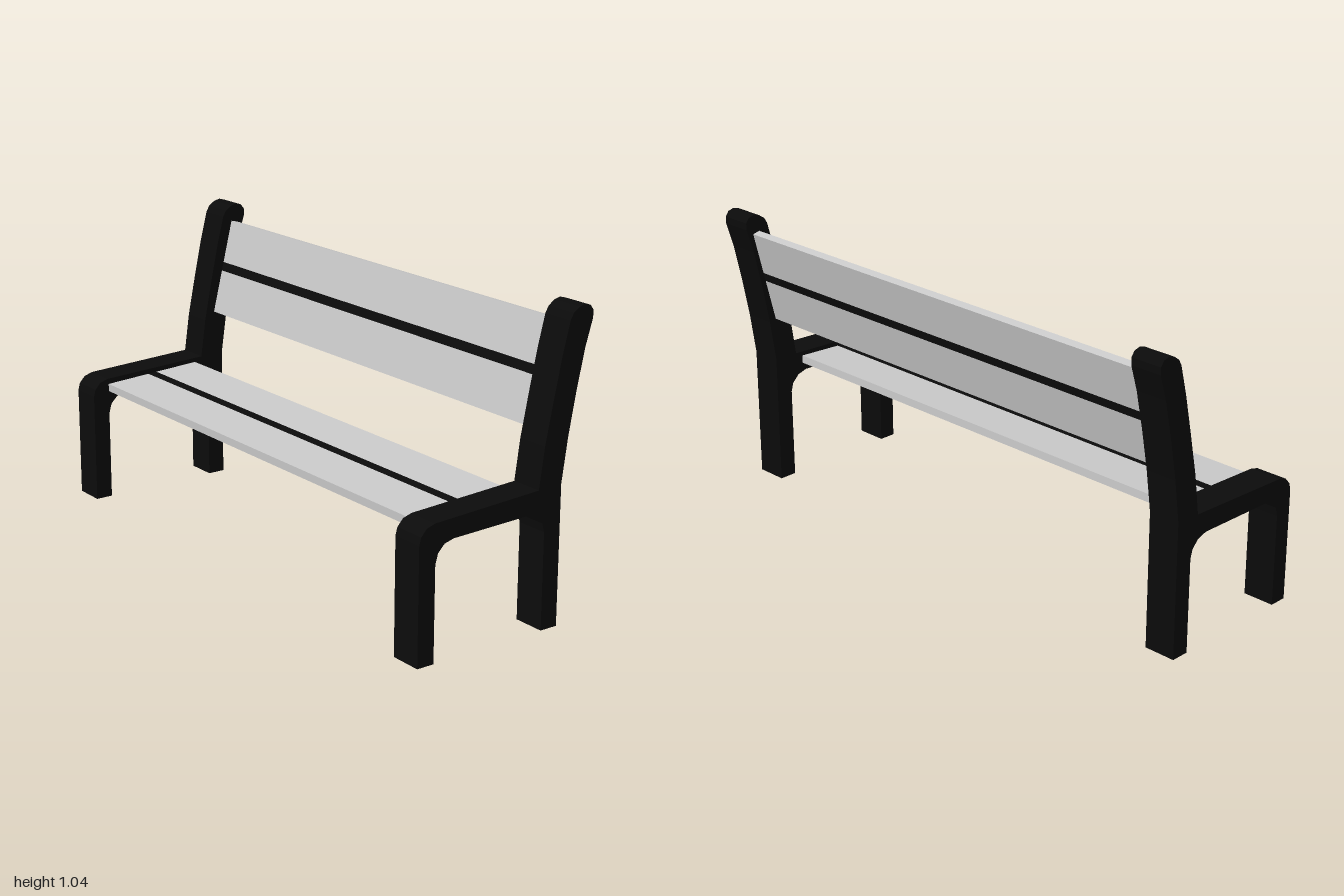
import * as THREE from 'three';

const frameMat = new THREE.MeshStandardMaterial({ color: 0x0b0b0b });
frameMat.name = 'black';
const slatMat = new THREE.MeshStandardMaterial({ color: 0xc8c8c8 });
slatMat.name = 'lightGrey';

const FRAME_WIDTH = 0.113;
const SLAT_WIDTH = 1.78;
const SLAT_THICKNESS = 0.028;

// Side outline of one end frame as [z, y]
const OUTLINE = [
  [0.335, 0], [0.335, 0.395], [0.328, 0.421], [0.307, 0.444], [0.275, 0.454],
  [-0.135, 0.472], [-0.155, 0.61], [-0.185, 0.755], [-0.215, 0.892], [-0.242, 0.995],
  [-0.254, 1.016], [-0.277, 1.032], [-0.3, 1.038], [-0.322, 1.032], [-0.335, 1.015],
  [-0.335, 0.99], [-0.307, 0.9], [-0.277, 0.765], [-0.25, 0.625], [-0.228, 0.475],
  [-0.228, 0], [-0.163, 0], [-0.163, 0.33], [-0.154, 0.361], [-0.128, 0.387],
  [-0.092, 0.398], [0.202, 0.391], [0.237, 0.382], [0.262, 0.357], [0.272, 0.322], [0.272, 0],
];

function endFrame(name, x) {
  const shape = new THREE.Shape(OUTLINE.map(([z, y]) => new THREE.Vector2(z, y)));
  const geo = new THREE.ExtrudeGeometry(shape, { depth: FRAME_WIDTH, bevelEnabled: false });
  geo.translate(0, 0, -FRAME_WIDTH / 2).rotateY(-Math.PI / 2);
  const mesh = new THREE.Mesh(geo, frameMat);
  mesh.name = name;
  mesh.position.x = x;
  return mesh;
}

// Board whose upper face runs between fractions t0..t1 of the line from -> to, given as [z, y]
function board(name, from, to, t0, t1, material) {
  const dz = to[0] - from[0], dy = to[1] - from[1];
  const angle = Math.atan2(-dy, dz);
  const mid = (t0 + t1) / 2;
  const geo = new THREE.BoxGeometry(SLAT_WIDTH, SLAT_THICKNESS, Math.hypot(dz, dy) * (t1 - t0));
  geo.translate(0, -SLAT_THICKNESS / 2, 0);
  const mesh = new THREE.Mesh(geo, material);
  mesh.name = name;
  mesh.rotation.x = angle;
  mesh.position.set(0, from[1] + dy * mid, from[0] + dz * mid);
  return mesh;
}

// Two light slats with a black strip filling the joint
function panel(name, from, to) {
  const group = new THREE.Group();
  group.name = name;
  group.add(
    board(name + 'FirstSlat', from, to, 0, 0.452, slatMat),
    board(name + 'JointStrip', from, to, 0.452, 0.545, frameMat),
    board(name + 'SecondSlat', from, to, 0.545, 1, slatMat),
  );
  return group;
}

export function createModel() {
  const bench = new THREE.Group();
  bench.name = 'bench';
  const x = 1 - FRAME_WIDTH / 2;
  bench.add(
    endFrame('leftFrame', x),
    endFrame('rightFrame', -x),
    panel('seat', [-0.105, 0.455], [0.272, 0.434]),
    panel('backrest', [-0.279, 0.975], [-0.195, 0.637]),
  );
  return bench;
}
